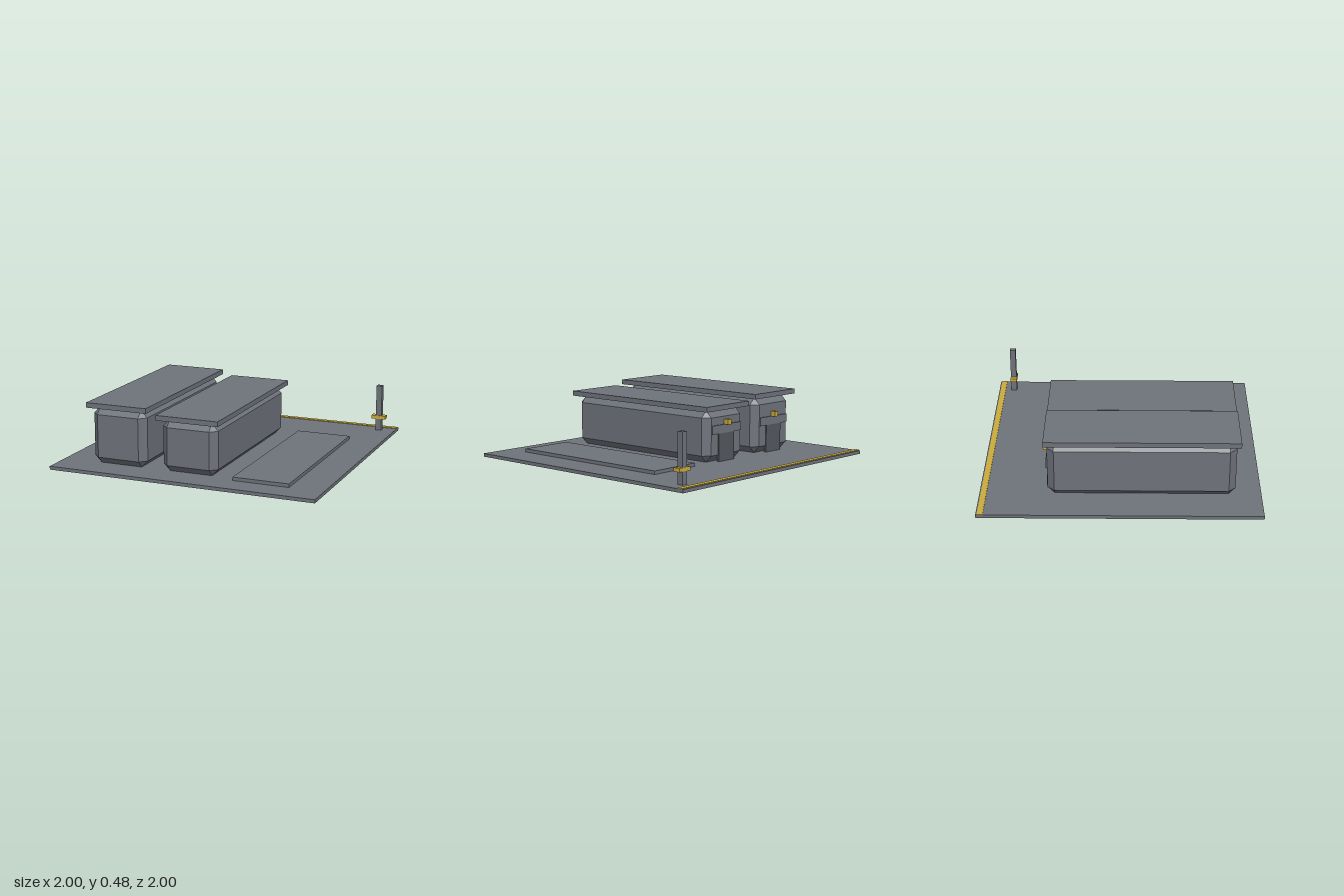
import * as THREE from 'three';
import { ConvexGeometry } from 'three/addons/geometries/ConvexGeometry.js';

const grey = new THREE.MeshStandardMaterial({ color: 0x6e727a });
grey.name = 'grey';
const darkGrey = new THREE.MeshStandardMaterial({ color: 0x54585e });
darkGrey.name = 'darkGrey';
const yellow = new THREE.MeshStandardMaterial({ color: 0xcaab3a });
yellow.name = 'yellow';

// Box given by its extents on each axis
function box(name, material, [x0, x1], [y0, y1], [z0, z1]) {
  const mesh = new THREE.Mesh(new THREE.BoxGeometry(x1 - x0, y1 - y0, z1 - z0), material);
  mesh.position.set((x0 + x1) / 2, (y0 + y1) / 2, (z0 + z1) / 2);
  mesh.name = name;
  return mesh;
}

// Box with every edge and corner cut flat by c
function chamferedBox(w, h, d, c) {
  const points = [];
  for (const sx of [-1, 1]) for (const sy of [-1, 1]) for (const sz of [-1, 1]) {
    const x = w / 2, y = h / 2, z = d / 2;
    points.push(
      new THREE.Vector3(sx * x, sy * (y - c), sz * (z - c)),
      new THREE.Vector3(sx * (x - c), sy * y, sz * (z - c)),
      new THREE.Vector3(sx * (x - c), sy * (y - c), sz * z));
  }
  return new ConvexGeometry(points);
}

// Chamfered block with an overhanging lid and a rear door
function createBlock(name, x, top) {
  const block = new THREE.Group();
  block.name = name;
  block.position.x = x;
  const body = new THREE.Mesh(chamferedBox(0.42, top - 0.025, 1.33, 0.05), grey);
  body.name = 'body';
  body.position.set(0, (top + 0.025) / 2, 0.15);
  block.add(
    body,
    box('lid', grey, [-0.235, 0.235], [top, top + 0.037], [-0.537, 0.84]),
    box('door', darkGrey, [-0.085, 0.085], [0.025, 0.23], [-0.523, -0.505]),
    box('doorLintel', grey, [-0.16, 0.16], [0.23, 0.292], [-0.525, -0.503]),
    box('doorLamp', yellow, [-0.018, 0.018], [0.29, 0.328], [-0.552, -0.512]));
  return block;
}

export function createModel() {
  const model = new THREE.Group();
  model.name = 'compound';
  model.add(
    box('ground', grey, [-1, 1], [0, 0.025], [-1, 1]),
    box('edgeStripe', yellow, [-1, 1], [0.025, 0.03], [-0.99, -0.95]),
    box('emptyPad', grey, [0.335, 0.75], [0.025, 0.05], [-0.515, 0.815]),
    createBlock('tallBlock', -0.545, 0.44),
    createBlock('lowBlock', 0, 0.4));

  // Marker post with a collar
  const post = new THREE.Group();
  post.name = 'markerPost';
  post.add(
    box('post', grey, [0.854, 0.898], [0.025, 0.38], [-0.903, -0.859]),
    box('collar', yellow, [0.82, 0.93], [0.115, 0.142], [-0.905, -0.855]));
  model.add(post);
  return model;
}
